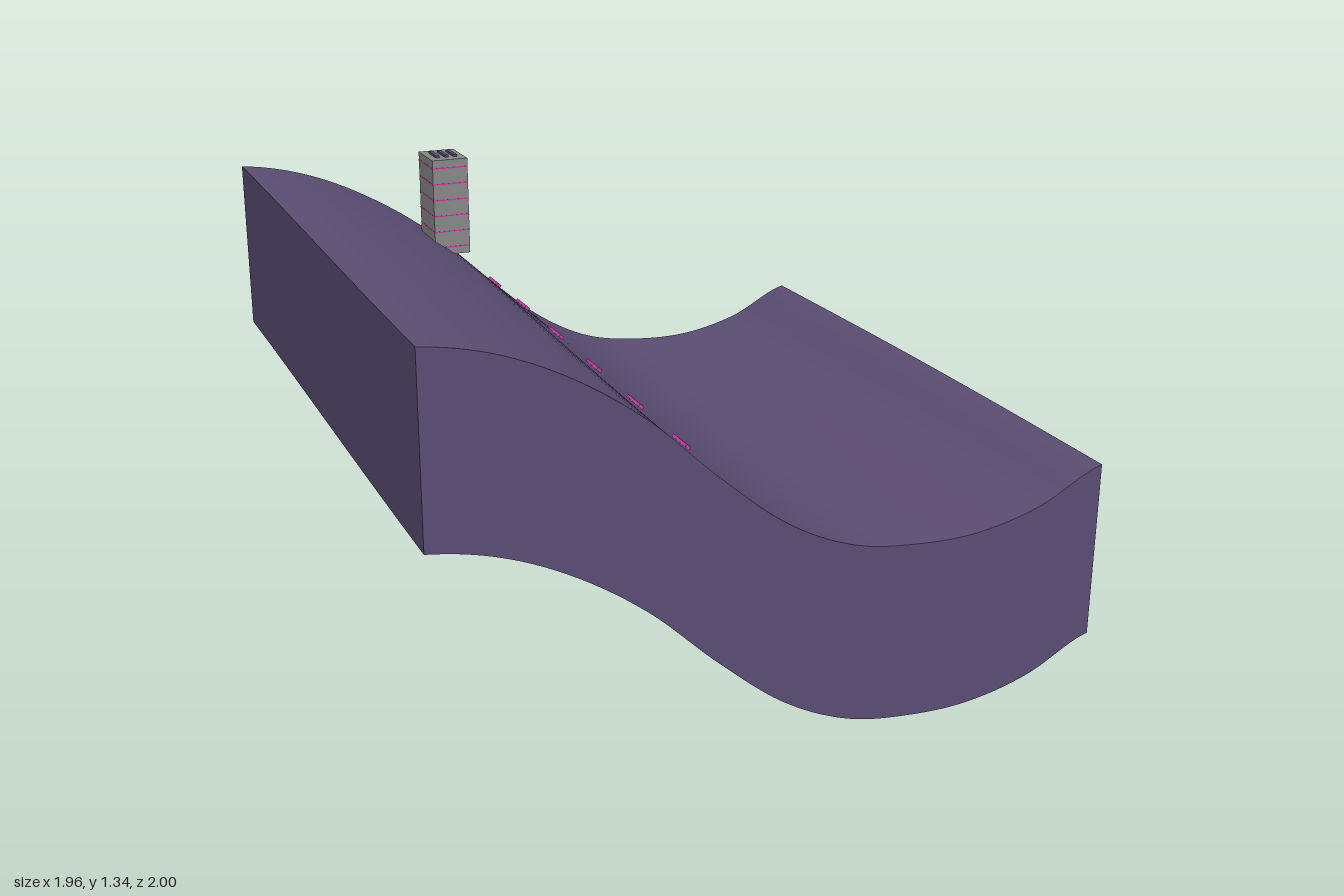
import * as THREE from 'three';
import { ParametricGeometry } from 'three/addons/geometries/ParametricGeometry.js';

const X = 0.98, FRONT = 1, BACK = -0.96, DEPTH = 0.522;

// slope profile at the front edge, and how much it rises towards the back
const points = (list) => new THREE.SplineCurve(list.map(([x, y]) => new THREE.Vector2(x, y)));
const profile = points([[-0.98, 1.258], [-0.784, 1.215], [-0.588, 1.125], [-0.392, 0.99], [-0.196, 0.808],
  [0, 0.65], [0.196, 0.557], [0.392, 0.525], [0.588, 0.526], [0.784, 0.572], [0.98, 0.665]]);
const rise = points([[-0.98, 0.022], [-0.588, 0.027], [-0.196, 0.04], [0.196, 0.01], [0.588, 0], [0.98, -0.003]]);

function height(x, z) {
  const u = THREE.MathUtils.clamp((x + X) / (2 * X), 0, 1);
  const t = THREE.MathUtils.clamp((FRONT - z) / (FRONT - BACK), 0, 1);
  return profile.getPoint(u).y + rise.getPoint(u).y * THREE.MathUtils.smoothstep(t, 0, 1)
    + 0.008 * Math.sin(Math.PI * t) * u;
}

export function createModel() {
  const model = new THREE.Group();
  const purple = new THREE.MeshStandardMaterial({ color: 0x5a4d73, side: THREE.DoubleSide });
  purple.name = 'dusk purple';
  const grey = new THREE.MeshStandardMaterial({ color: 0x888888 });
  grey.name = 'concrete grey';
  const pink = new THREE.MeshStandardMaterial({ color: 0xc839a8 });
  pink.name = 'neon pink';

  const add = (parent, name, geometry, material, x = 0, y = 0, z = 0) => {
    const mesh = new THREE.Mesh(geometry, material);
    mesh.name = name;
    mesh.position.set(x, y, z);
    parent.add(mesh);
    return mesh;
  };

  // curved ground sheet
  const ground = new THREE.Group();
  ground.name = 'ground';
  model.add(ground);
  add(ground, 'groundSurface', new ParametricGeometry((u, v, p) => {
    const x = THREE.MathUtils.lerp(-X, X, u), z = THREE.MathUtils.lerp(FRONT, BACK, v);
    p.set(x, height(x, z), z);
  }, 64, 24), purple);

  // four skirt walls that follow the edge of the sheet; the underside is open
  const wall = (name, x0, z0, x1, z1) => add(ground, name, new ParametricGeometry((u, v, p) => {
    const x = THREE.MathUtils.lerp(x0, x1, u), z = THREE.MathUtils.lerp(z0, z1, u);
    p.set(x, height(x, z) - DEPTH * (1 - v), z);
  }, 64, 1), purple);
  wall('frontWall', -X, FRONT, X, FRONT);
  wall('leftWall', X, FRONT, X, BACK);
  wall('backWall', X, BACK, -X, BACK);
  wall('rightWall', -X, BACK, -X, FRONT);

  // dashed line running along the slope
  const dashes = new THREE.Group();
  dashes.name = 'dashedLine';
  model.add(dashes);
  for (let i = 0; i < 6; i++) {
    const z = 0.67 - i * 0.325;
    const x = -0.16 + (i === 5 ? 0.02 : i * 0.002);
    const dash = add(dashes, 'dash', new THREE.BoxGeometry(0.016, 0.01, 0.09), pink, x, height(x, z) + 0.005, z);
    dash.rotation.z = Math.atan2(height(x + 0.02, z) - height(x - 0.02, z), 0.04);
  }

  // tower with floor lines and roof slats
  const tower = new THREE.Group();
  tower.name = 'tower';
  tower.position.set(-0.408, 1.03, -0.63);
  model.add(tower);
  add(tower, 'towerBody', new THREE.BoxGeometry(0.114, 0.305, 0.15), grey, 0, 0.1525, 0);
  for (let i = 0; i < 6; i++) {
    add(tower, 'floorLine', new THREE.BoxGeometry(0.115, 0.004, 0.151), pink, 0, 0.024 + i * 0.051, 0);
  }
  for (const x of [-0.028, 0, 0.028]) {
    add(tower, 'roofSlat', new THREE.BoxGeometry(0.012, 0.008, 0.08), purple, x, 0.308, 0);
  }
  return model;
}
